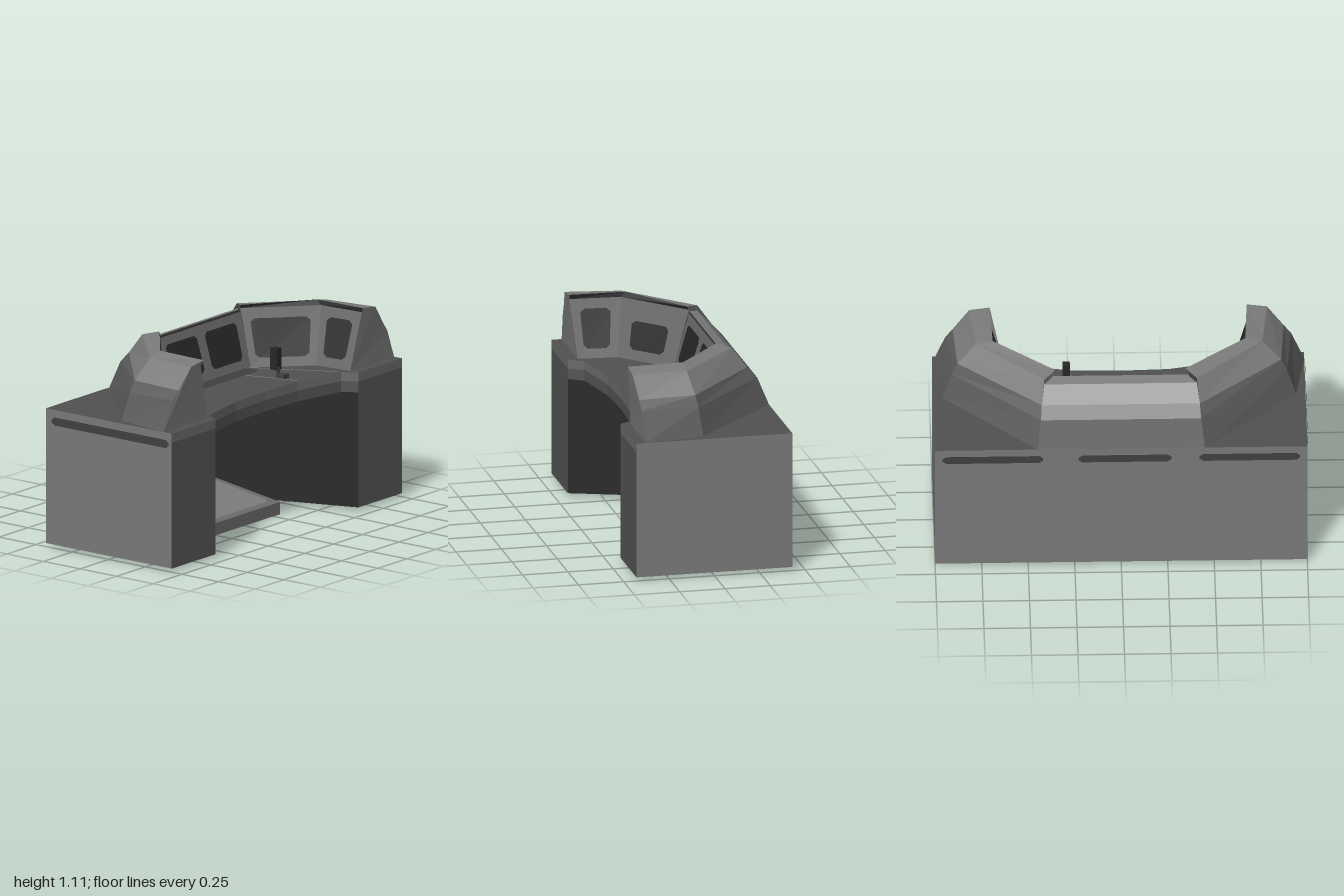
import * as THREE from 'three';

const mat = (name, color) => new THREE.MeshStandardMaterial({ name, color, side: THREE.DoubleSide });
const M = {
  body: mat('cabinet grey', 0x797979),
  front: mat('front grey', 0x545454),
  top: mat('desktop grey', 0x515151),
  trim: mat('trim grey', 0x6a6a6a),
  inner: mat('knee space black', 0x292929),
  hoodUpper: mat('hood light grey', 0x7b7b7b),
  hoodLower: mat('hood dark grey', 0x5c5c5c),
  panel: mat('panel grey', 0x686868),
  screen: mat('screen black', 0x272727),
  slot: mat('vent dark grey', 0x404040),
};

const V = (p) => new THREE.Vector3(...p);

// Mesh from flat convex polygons, each fanned from its first corner
function polys(name, material, list) {
  const pos = [];
  for (const p of list)
    for (let i = 1; i < p.length - 1; i++) pos.push(...p[0], ...p[i], ...p[i + 1]);
  const g = new THREE.BufferGeometry();
  g.setAttribute('position', new THREE.Float32BufferAttribute(pos, 3));
  g.computeVertexNormals();
  const m = new THREE.Mesh(g, material);
  m.name = name;
  return m;
}

// Upright walls along a path of [x, z] points
function walls(name, material, path, y0, y1) {
  const list = [];
  for (let i = 0; i < path.length - 1; i++) {
    const [a, b] = [path[i], path[i + 1]];
    list.push([[a[0], y0, a[1]], [b[0], y0, b[1]], [b[0], y1, b[1]], [a[0], y1, a[1]]]);
  }
  return polys(name, material, list);
}

// Horizontal sheet from an outline of [x, z] points
function sheet(name, material, outline, y, down = false) {
  const g = new THREE.ShapeGeometry(new THREE.Shape(outline.map(([x, z]) => new THREE.Vector2(x, -z))));
  g.rotateX(-Math.PI / 2);
  if (down) {
    const idx = g.index.array;
    for (let i = 0; i < idx.length; i += 3) [idx[i], idx[i + 1]] = [idx[i + 1], idx[i]];
    g.computeVertexNormals();
  }
  g.translate(0, y, 0);
  const m = new THREE.Mesh(g, material);
  m.name = name;
  return m;
}

// Plate with clipped corners laid on a quad (bottom left, bottom right, top right, top left from outside)
function plate(name, material, quad, u0, u1, v0, v1, cut = 0.02) {
  const [a, b, c, d] = quad.map(V);
  const n = b.clone().sub(a).cross(d.clone().sub(a)).normalize().multiplyScalar(0.005);
  const cu = Math.min(cut / a.distanceTo(b), (u1 - u0) / 3);
  const cv = Math.min(cut / a.distanceTo(d), (v1 - v0) / 3);
  const uv = [[u0 + cu, v0], [u1 - cu, v0], [u1, v0 + cv], [u1, v1 - cv],
    [u1 - cu, v1], [u0 + cu, v1], [u0, v1 - cv], [u0, v0 + cv]];
  return polys(name, material, [uv.map(([u, v]) =>
    a.clone().lerp(b, u).lerp(d.clone().lerp(c, u), v).add(n).toArray())]);
}

function box(name, material, w, h, d, x, y, z) {
  const m = new THREE.Mesh(new THREE.BoxGeometry(w, h, d), material);
  m.name = name;
  m.position.set(x, y, z);
  return m;
}

const mirror = (p, s) => [p[0] * s, p[1], p[2]];

function buildCabinet() {
  const g = new THREE.Group();
  g.name = 'cabinet';
  const edge = [[-0.62, 0.43], [-0.57, 0.35], [-0.27, 0.29], [0, 0.28], [0.27, 0.29], [0.57, 0.35], [0.62, 0.43]];
  const knee = [[-0.62, 0.43], [-0.34, -0.365], [0.34, -0.365], [0.62, 0.43]];
  const back = [[1, 0.43], [1, -0.43], [-1, -0.43], [-1, 0.43]];
  g.add(walls('outerWalls', M.body, back, 0.02, 0.77));
  g.add(sheet('desktop', M.top, [...back, ...edge], 0.77));
  g.add(sheet('underside', M.body, [...back, ...knee], 0.02, true));
  g.add(walls('kneeSpaceWalls', M.inner, knee, 0.02, 0.66));
  g.add(sheet('kneeSpaceCeiling', M.inner, [...edge, [0.34, -0.365], [-0.34, -0.365]], 0.66, true));
  g.add(walls('desktopEdge', M.front, edge, 0.66, 0.72));
  g.add(walls('desktopTrim', M.trim, edge, 0.72, 0.77));
  for (const s of [-1, 1]) {
    const path = s < 0 ? [[-1, 0.43], [-0.62, 0.43]] : [[0.62, 0.43], [1, 0.43]];
    g.add(walls('pedestalFront', M.front, path, 0.02, 0.72));
    g.add(walls('pedestalTrim', M.trim, path, 0.72, 0.77));
  }
  // Vent slots on the back and one side
  const rear = [[1, 0, -0.43], [-1, 0, -0.43], [-1, 1, -0.43], [1, 1, -0.43]];
  for (const [x0, x1] of [[0.96, 0.42], [0.23, -0.27], [-0.42, -0.96]])
    g.add(plate('backVent', M.slot, rear, (1 - x0) / 2, (1 - x1) / 2, 0.685, 0.73));
  const side = [[-1, 0, -0.43], [-1, 0, 0.43], [-1, 1, 0.43], [-1, 1, -0.43]];
  g.add(plate('sideVent', M.slot, side, 0.05, 0.98, 0.685, 0.73));
  return g;
}

function buildHood() {
  const g = new THREE.Group();
  g.name = 'instrumentHood';
  // Sections: base, shoulder, colour break, ridge, lip, panel top, panel bottom
  const centre = [[0.45, 0.77, -0.43], [0.43, 0.92, -0.37], [0.425, 0.98, -0.315], [0.41, 1.06, -0.235],
    [0.36, 1.075, -0.18], [0.37, 1.06, -0.18], [0.345, 0.77, -0.09]];
  const inner = [...centre.slice(0, 3), [0.41, 1.09, -0.235], [0.35, 1.105, -0.165], [0.37, 1.08, -0.18], centre[6]];
  const corner = [[0.95, 0.77, 0.05], [0.90, 0.92, 0.065], [0.87, 0.98, 0.075], [0.77, 1.09, 0.1],
    [0.68, 1.11, 0.1], [0.69, 1.08, 0.12], [0.6, 0.77, 0.16]];
  const end = [[1, 0.77, 0.375], [0.93, 0.93, 0.385], [0.89, 0.98, 0.39], [0.8, 1.095, 0.405],
    [0.69, 1.11, 0.405], [0.71, 1.08, 0.4], [0.62, 0.77, 0.375]];
  const rowMats = [M.hoodLower, M.hoodLower, M.hoodUpper, M.hoodUpper, M.slot, M.panel];
  const rowNames = ['LowerShell', 'Shoulder', 'UpperShell', 'Roof', 'Lip', 'Panel'];

  // Shell between two sections, a running to the viewer's left of b seen from behind
  const segment = (name, a, b) => {
    for (let i = 0; i < 6; i++)
      g.add(polys(name + rowNames[i], rowMats[i], [[a[i], b[i], b[i + 1], a[i + 1]]]));
  };
  const flip = (sec) => sec.map((p) => mirror(p, -1));
  segment('centre', centre, flip(centre));
  for (const s of [1, -1]) {
    const [a, b, c] = [inner, corner, end].map((sec) => sec.map((p) => mirror(p, s)));
    if (s > 0) { segment('diagonal', b, a); segment('side', c, b); }
    else { segment('diagonal', a, b); segment('side', b, c); }
    g.add(polys('hoodEnd', M.hoodUpper, [s > 0 ? [...c].reverse() : c]));
    // Screens on the diagonal and side panels
    const face = (p, q) => (s > 0 ? [p[6], q[6], q[5], p[5]] : [q[6], p[6], p[5], q[5]]);
    if (s > 0) g.add(plate('diagonalScreen', M.screen, face(a, b), 0.1, 0.88, 0.16, 0.82));
    else g.add(plate('diagonalScreen', M.screen, face(a, b), 0.2, 0.78, 0.17, 0.65));
    g.add(plate('sideScreen', M.screen, face(b, c), 0.18, 0.8, 0.16, 0.83));
  }
  // Pair of centre screens
  const m = flip(centre);
  const panel = [m[6], centre[6], centre[5], m[5]];
  g.add(plate('centreScreen', M.screen, panel, 0.08, 0.45, 0.17, 0.85));
  g.add(plate('centreScreen', M.screen, panel, 0.545, 0.92, 0.17, 0.85));
  return g;
}

function buildDeskDetails() {
  const g = new THREE.Group();
  g.name = 'deskDetails';
  const flat = [[-1, 0.77, 1], [1, 0.77, 1], [1, 0.77, -1], [-1, 0.77, -1]];
  g.add(plate('controlStrip', M.slot, flat, 0.345, 0.655, 0.5, 0.545));
  // Slim seams across the desktop
  for (const [x0, z0, x1, z1] of [[0.16, -0.09, 0.27, 0.285], [0.32, -0.09, 0.55, 0.34]])
    g.add(polys('desktopSeam', M.body, [[[x0, 0.774, z0], [x1, 0.774, z1], [x1 + 0.012, 0.774, z1], [x0 + 0.012, 0.774, z0]]]));
  // Microphone
  g.add(box('microphoneFoot', M.slot, 0.045, 0.025, 0.05, 0.28, 0.782, 0.18));
  g.add(box('microphoneStem', M.slot, 0.015, 0.05, 0.015, 0.28, 0.80, 0.15));
  g.add(box('microphoneHead', M.screen, 0.04, 0.12, 0.045, 0.285, 0.87, 0.13));
  return g;
}

function buildFootrest() {
  const g = new THREE.Group();
  g.name = 'footrest';
  // Wedge: bottom front, bottom back, top back, top front
  const prof = [[0, 0.14], [0.025, -0.365], [0.14, -0.365], [0.068, 0.14]];
  const L = prof.map(([y, z]) => [-0.31, y, z]);
  const R = prof.map(([y, z]) => [0.31, y, z]);
  const list = [[...L].reverse(), R];
  for (let i = 0; i < 4; i++) list.push([L[i], L[(i + 1) % 4], R[(i + 1) % 4], R[i]]);
  g.add(polys('footrestBase', M.trim, list));
  g.add(plate('footrestPad', M.hoodUpper, [L[3], R[3], R[2], L[2]], 0.07, 0.93, 0.07, 0.95, 0.03));
  return g;
}

export function createModel() {
  const model = new THREE.Group();
  model.name = 'controlDesk';
  model.add(buildCabinet(), buildHood(), buildDeskDetails(), buildFootrest());
  return model;
}
